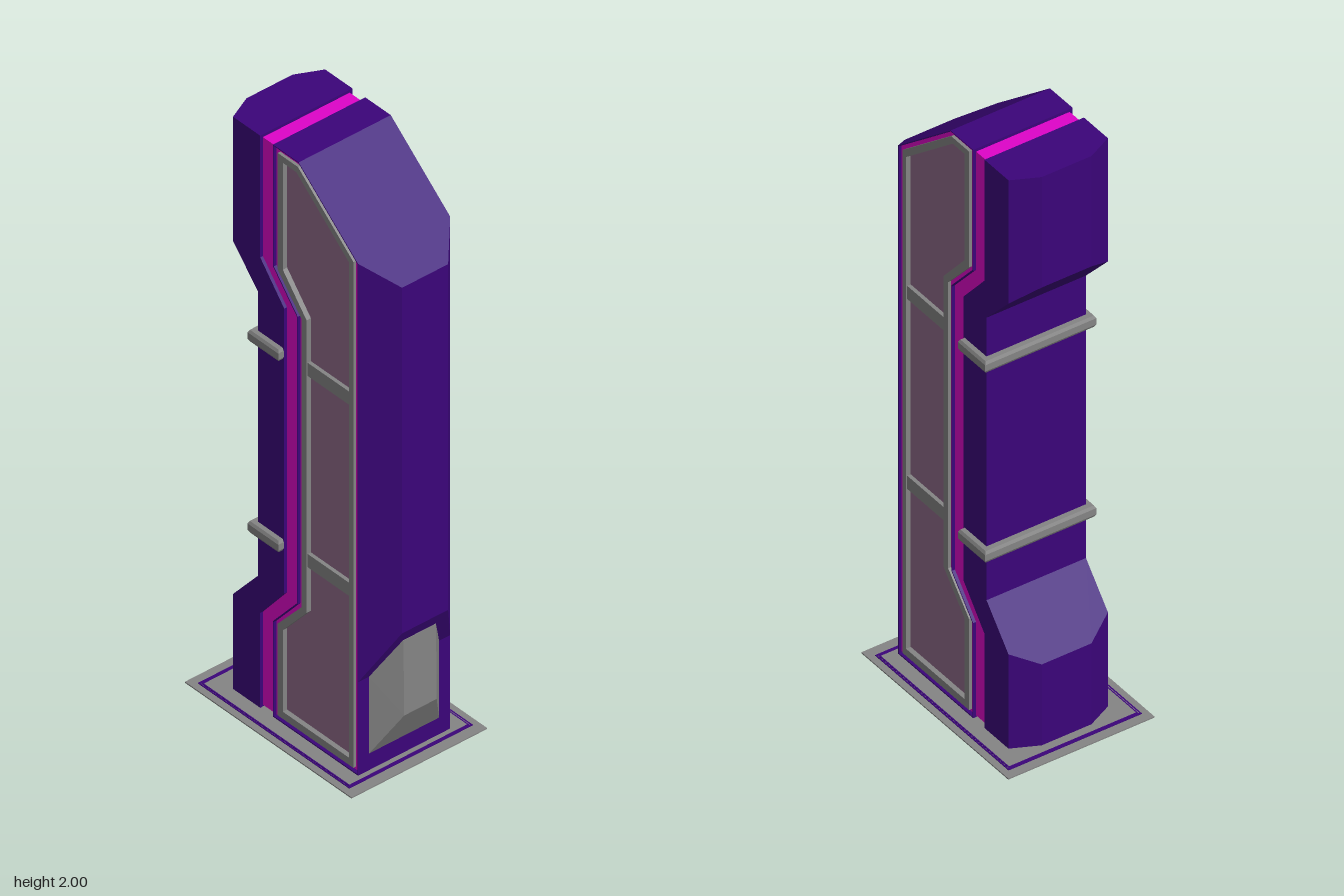
import * as THREE from 'three';
import { ConvexGeometry } from 'three/addons/geometries/ConvexGeometry.js';

const mat = (name, color) => {
  const m = new THREE.MeshStandardMaterial({ color });
  m.name = name;
  return m;
};

const toShape = (pts) => new THREE.Shape(pts.map(([a, b]) => new THREE.Vector2(a, b)));
const toPath = (pts) => new THREE.Path(pts.map(([a, b]) => new THREE.Vector2(a, b)));

// Extrudes a (z, y) side outline across x, from x0 to x1
function sideExtrude(pts, x0, x1, hole) {
  const shape = toShape(pts);
  if (hole) shape.holes.push(toPath(hole));
  const geo = new THREE.ExtrudeGeometry(shape, { depth: x1 - x0, bevelEnabled: false });
  geo.rotateY(-Math.PI / 2);
  geo.translate(x1, 0, 0);
  return geo;
}

// Extrudes a (x, z) plan outline upward from y0
function planExtrude(pts, y0, depth, hole, bevel = {}) {
  const shape = toShape(pts.map(([x, z]) => [x, -z]));
  if (hole) shape.holes.push(toPath(hole.map(([x, z]) => [x, -z])));
  const geo = new THREE.ExtrudeGeometry(shape, { depth, bevelEnabled: false, ...bevel });
  geo.rotateX(-Math.PI / 2);
  geo.translate(0, y0, 0);
  return geo;
}

// Convex block from points mirrored across x
function mirroredHull(pts) {
  return new ConvexGeometry(pts.flatMap(([x, y, z]) => [
    new THREE.Vector3(x, y, z), new THREE.Vector3(-x, y, z)]));
}

const rect = (x, z0, z1) => [[-x, z0], [x, z0], [x, z1], [-x, z1]];

export function createModel() {
  const model = new THREE.Group();
  model.name = 'kioskTower';
  const purple = mat('deep purple', 0x3b047a);
  const pink = mat('bright magenta', 0xde04c8);
  const grey = mat('metal grey', 0x848484);
  const mauve = mat('mauve panel', 0x8f6b89);

  const add = (name, geo, material) => {
    const mesh = new THREE.Mesh(geo, material);
    mesh.name = name;
    model.add(mesh);
    return mesh;
  };

  // Ground plate with thin outlines that merge at front and back
  add('basePlate', planExtrude(rect(0.25, -0.37, 0.345), 0, 0.004), grey);
  add('baseOuterLine', planExtrude(rect(0.228, -0.34, 0.31), 0.004, 0.002,
    rect(0.223, -0.333, 0.304)), purple);
  add('baseInnerLine', planExtrude(rect(0.221, -0.333, 0.304), 0.004, 0.002,
    rect(0.217, -0.327, 0.298)), purple);

  // Thin front casing, open at the sides, with a stepped back and sloping roof
  add('frontCasing', sideExtrude([
    [0.28, 0.004], [0.28, 1.79], [0.025, 2], [-0.085, 2], [-0.085, 1.575],
    [0.018, 1.457], [0.018, 0.458], [-0.085, 0.338], [-0.085, 0.004],
  ], -0.17, 0.17, [
    [0.277, 0.008], [0.277, 1.788], [0.024, 1.997], [-0.082, 1.997], [-0.082, 1.577],
    [0.021, 1.459], [0.021, 0.456], [-0.082, 0.336], [-0.082, 0.008],
  ]), purple);

  // Faceted front shell
  add('frontShell', mirroredHull([
    [0.17, 0.33, 0.28], [0.085, 0.51, 0.37], [0.085, 1.716, 0.37], [0.17, 1.79, 0.28],
  ]), purple);

  // Wedge at the foot of the front
  add('frontWedge', mirroredHull([
    [0.13, 0.06, 0.279], [0.13, 0.33, 0.279], [0.06, 0.2, 0.35], [0.06, 0.46, 0.347],
    [0.06, 0.46, 0.279],
  ]), grey);

  const frameOuter = [
    [0.26, 0.02], [0.26, 1.785], [0.022, 1.982], [-0.065, 1.982], [-0.065, 1.575],
    [0.037, 1.46], [0.037, 0.455], [-0.065, 0.34], [-0.065, 0.02],
  ];
  const frameInner = [
    [0.242, 0.045], [0.242, 1.772], [0.015, 1.96], [-0.043, 1.96], [-0.043, 1.587],
    [0.059, 1.468], [0.059, 0.447], [-0.043, 0.33], [-0.043, 0.045],
  ];

  // Magenta core filling the casing and the gap behind it
  const coreOutline = [
    [0.278, 0.01], [0.278, 1.786], [0.03, 1.99], [-0.145, 1.99], [-0.145, 1.575],
    [-0.04, 1.455], [-0.04, 0.46], [-0.145, 0.335], [-0.145, 0.01],
  ];
  add('glowCore', sideExtrude(coreOutline, -0.15, 0.15), pink);

  // Core side rims, recessed panels, raised frames and crossbars
  for (const [side, s] of [['left', 1], ['right', -1]]) {
    const span = (a, b) => (s > 0 ? [a, b] : [-b, -a]);
    add(side + 'GlowRim', sideExtrude(coreOutline, ...span(0.149, 0.16), frameOuter), pink);
    add(side + 'Frame', sideExtrude(frameOuter, ...span(0.149, 0.17), frameInner), grey);
    add(side + 'Panel', sideExtrude(frameInner, ...span(0.147, 0.154)), mauve);
    for (const y of [0.628, 1.295]) {
      const bar = add(side + 'Crossbar', new THREE.BoxGeometry(0.016, 0.046, 0.186), grey);
      bar.position.set(s * 0.158, y, 0.15);
    }
  }

  // Rear spine and its two chamfered blocks
  add('rearSpine', sideExtrude([
    [-0.15, 0.004], [-0.14, 0.004], [-0.14, 0.335], [-0.037, 0.46], [-0.037, 1.455],
    [-0.14, 1.575], [-0.14, 2], [-0.15, 2],
  ], -0.17, 0.17), purple);
  const rearBlock = (name, end, inner, edge, back) => add(name, mirroredHull([
    [0.17, end, -0.149], [0.17, end, -0.257], [0.085, end, -0.298],
    [0.17, inner, -0.149], [0.17, edge, -0.257], [0.085, back, -0.298],
  ]), purple);
  rearBlock('upperRearBlock', 2, 1.45, 1.567, 1.612);
  rearBlock('lowerRearBlock', 0.004, 0.46, 0.335, 0.288);

  // Bevelled straps wrapping the rear spine
  const strap = [
    [0.185, -0.044], [0.185, -0.167], [-0.185, -0.167], [-0.185, -0.044],
    [-0.166, -0.044], [-0.166, -0.146], [0.166, -0.146], [0.166, -0.044],
  ];
  for (const y of [0.628, 1.295]) {
    add('rearStrap', planExtrude(strap, y - 0.011, 0.022, null,
      { bevelEnabled: true, bevelThickness: 0.009, bevelSize: 0.005, bevelSegments: 1 }), grey);
  }
  return model;
}
